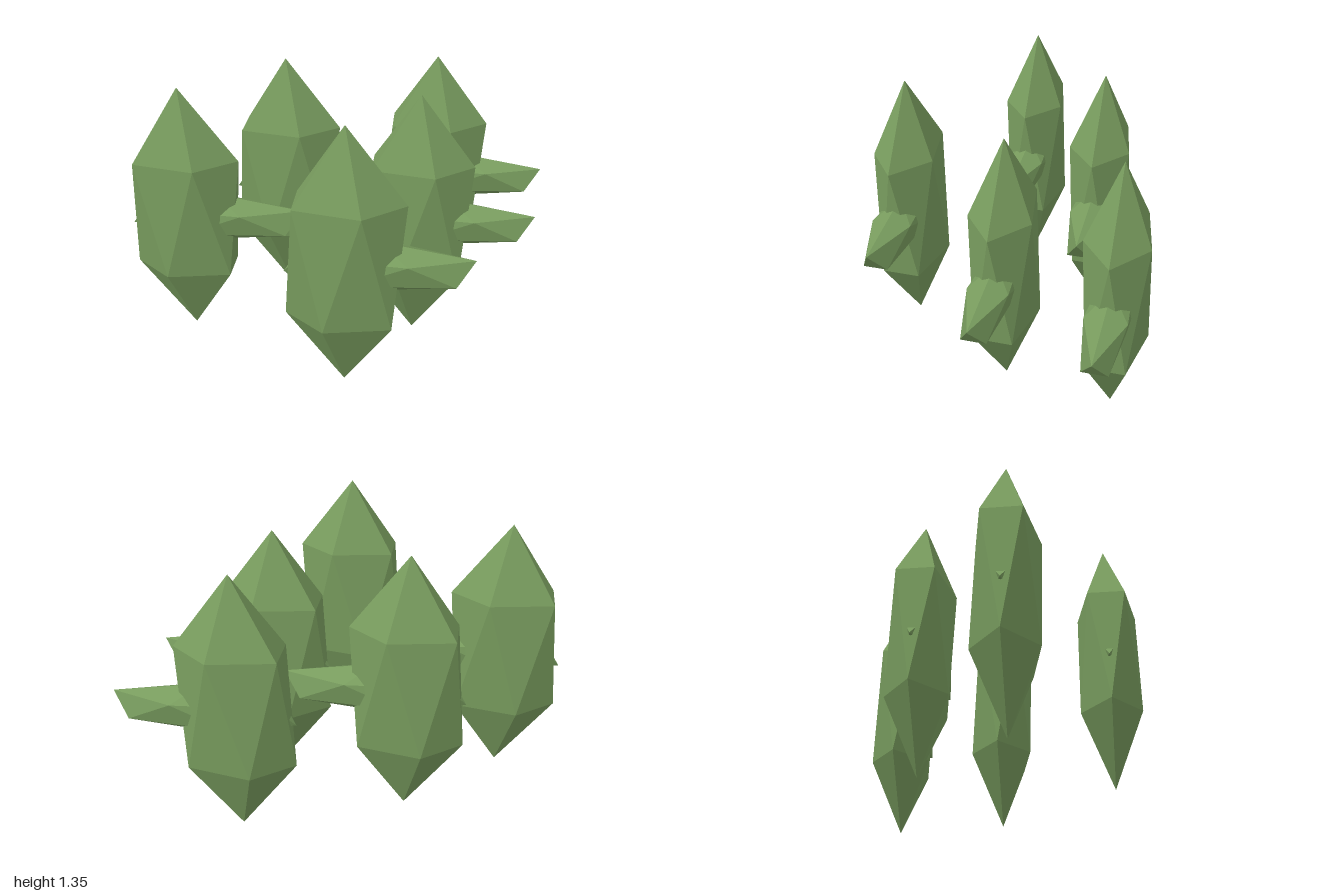
import * as THREE from 'three';

// Icosahedron with one vertex pointing straight up and an upper-ring vertex toward +x
function uprightIcosahedron(rx, ry, rz) {
  const golden = (1 + Math.sqrt(5)) / 2;
  const geometry = new THREE.IcosahedronGeometry(1, 0);
  geometry.rotateZ(-Math.atan(1 / golden));
  geometry.scale(rx, ry, rz);
  geometry.computeVertexNormals();
  return geometry;
}

export function createModel() {
  const model = new THREE.Group();
  model.name = 'cactusCluster';

  const green = new THREE.MeshStandardMaterial({ color: 0x789c5e, flatShading: true });
  green.name = 'cactus green';

  const bodyGeometry = uprightIcosahedron(0.296, 0.637, 0.17);
  const armGeometry = uprightIcosahedron(0.465, 0.121, 0.109);

  // Body centres
  const positions = [
    [-0.73, 0.68, 0.12],
    [-0.305, 0.68, -0.317],
    [0.075, 0.717, 0.537],
    [0.365, 0.641, -0.015],
    [0.43, 0.641, -0.54],
  ];

  positions.forEach(([x, y, z], i) => {
    const plant = new THREE.Group();
    plant.name = `cactus${i + 1}`;
    plant.position.set(x, y, z);

    // Tall faceted trunk
    const body = new THREE.Mesh(bodyGeometry, green);
    body.name = 'trunk';

    // Long flat side arm running through the trunk
    const arm = new THREE.Mesh(armGeometry, green);
    arm.name = 'sideArm';
    arm.position.set(0.147, -0.015, 0);

    plant.add(body, arm);
    model.add(plant);
  });

  return model;
}
